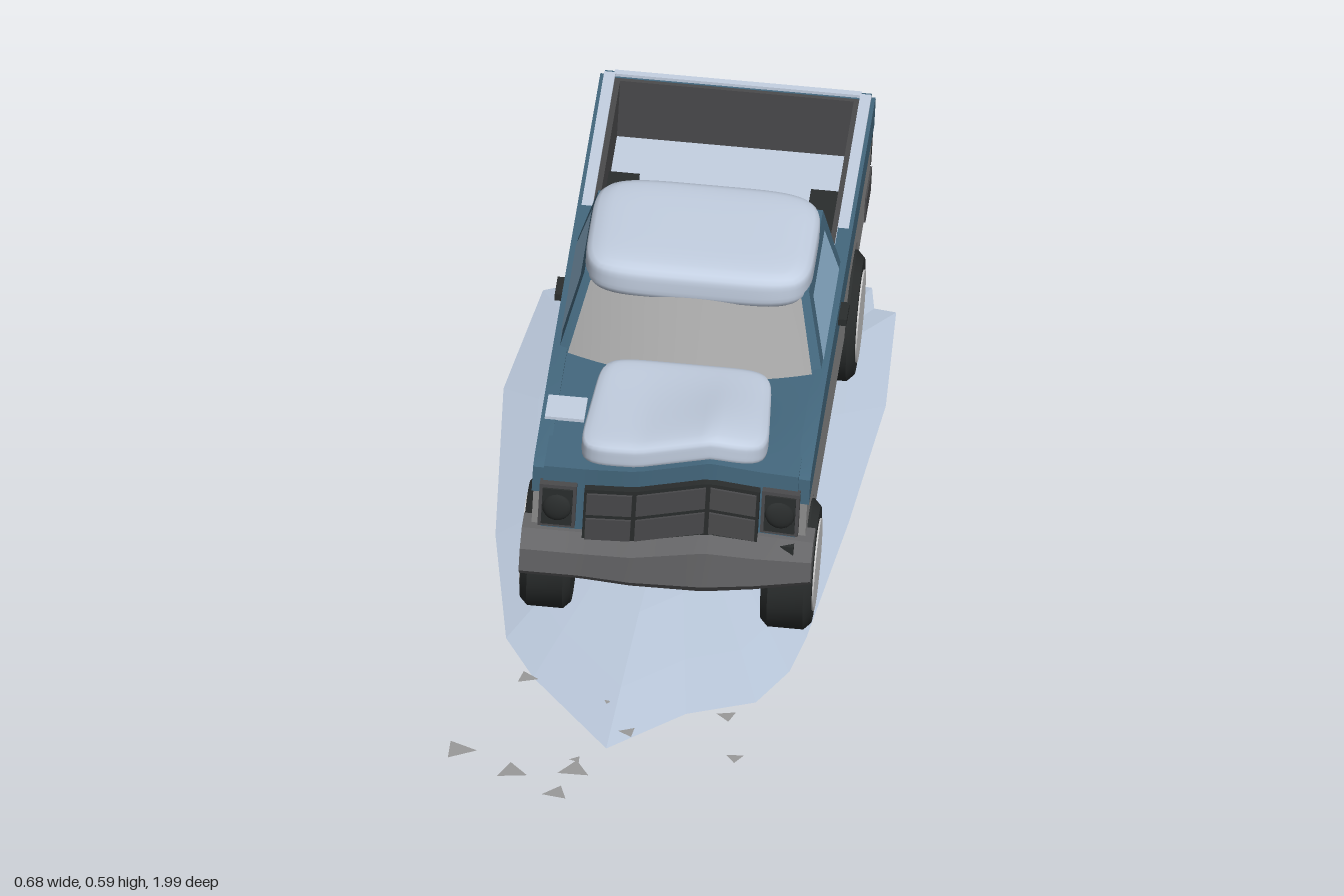
import * as THREE from 'three';
import { mergeVertices, toCreasedNormals } from 'three/addons/utils/BufferGeometryUtils.js';
import { ParametricGeometry } from 'three/addons/geometries/ParametricGeometry.js';

const mat = (color, side = THREE.FrontSide) => new THREE.MeshStandardMaterial({ color, side });
const blue = mat(0x44687e), panel = mat(0x8c8c8c), dark = mat(0x4a4a4c), black = mat(0x2a2d2d);
const hubGrey = mat(0xcccccc), snow = mat(0xc4d0e2), red = mat(0xa83a30);
const sideGlass = mat(0x94bad6, THREE.DoubleSide), frontGlass = mat(0xa5a5a5, THREE.DoubleSide);
const ground = mat(0xbccadd, THREE.DoubleSide), chip = mat(0x9a9a9a, THREE.DoubleSide);
ground.flatShading = true;

const { lerp, clamp, smoothstep } = THREE.MathUtils;

// Moves every vertex by a rule
function reshape(geo, rule) {
  const p = geo.attributes.position, v = new THREE.Vector3();
  for (let i = 0; i < p.count; i++) {
    rule(v.fromBufferAttribute(p, i));
    p.setXYZ(i, v.x, v.y, v.z);
  }
  geo.computeVertexNormals();
  return geo;
}

function add(parent, name, geo, material, x = 0, y = 0, z = 0) {
  const mesh = new THREE.Mesh(geo, material);
  mesh.name = name;
  mesh.position.set(x, y, z);
  parent.add(mesh);
  return mesh;
}
const box = (parent, name, m, w, h, d, x, y, z) => add(parent, name, new THREE.BoxGeometry(w, h, d), m, x, y, z);

// Extrudes a (z, y) side profile across x
function sideProfile(points, width, x = 0, steps = 1) {
  const shape = new THREE.Shape(points.map(p => new THREE.Vector2(...p)));
  return new THREE.ExtrudeGeometry(shape, { depth: width, steps, bevelEnabled: false })
    .rotateY(-Math.PI / 2).translate(x + width / 2, 0, 0);
}

// Collision damage: the nose is ridged off-centre and pushed back on the left
const DX = [-0.26, -0.15, -0.06, 0.07, 0.16, 0.26], DY = [0, 0, 0.01, 0.04, 0.017, -0.01], DZ = [0, 0, 0.01, 0.008, -0.015, -0.05];
function crumple(v) {
  let i = 0;
  while (i < 4 && v.x > DX[i + 1]) i++;
  const t = clamp((v.x - DX[i]) / (DX[i + 1] - DX[i]), 0, 1);
  const f = smoothstep(v.z, 0.2, 0.5);
  v.y += f * clamp((v.y - 0.2) / 0.07, 0, 1) * lerp(DY[i], DY[i + 1], t);
  v.z += f * lerp(DZ[i], DZ[i + 1], t);
}
const crumpled = geo => toCreasedNormals(reshape(geo, crumple), 0.5);
function nosePart(parent, name, m, w, h, d, x, y, z) {
  const n = Math.max(1, Math.round(w / 0.02));
  return add(parent, name, crumpled(new THREE.BoxGeometry(w, h, d, n, 2, 6).translate(x, y, z)), m);
}

// Soft rounded block of settled snow
function snowBlock(w, h, d, k) {
  let geo = new THREE.BoxGeometry(2, 2, 2, 20, 10, 20);
  geo.deleteAttribute('uv');
  geo.deleteAttribute('normal');
  geo = mergeVertices(geo);
  return reshape(geo, v => {
    const s = Math.pow(Math.abs(v.x) ** k + Math.abs(v.y) ** k + Math.abs(v.z) ** k, -1 / k);
    v.multiplyScalar(s).multiply(new THREE.Vector3(w / 2, h / 2, d / 2));
  });
}

// Point on the bowed front of the cab: u across, t up
const cabHalf = t => lerp(0.235, 0.2, t), cabY = t => lerp(0.4, 0.535, t);
const cabFront = (u, t) => lerp(0.14, 0.085, t) + lerp(0.06, 0.035, t) * (1 - u * u);

function buildCab(truck) {
  const pts = [new THREE.Vector2(-1, 0), new THREE.Vector2(1, 0)];
  for (let i = 0; i <= 12; i++) {
    const u = 1 - i / 6;
    pts.push(new THREE.Vector2(u, -1 - 0.3 * (1 - u * u)));
  }
  const geo = new THREE.ExtrudeGeometry(new THREE.Shape(pts), { depth: 1, bevelEnabled: false });
  geo.rotateX(-Math.PI / 2);
  add(truck, 'cab', toCreasedNormals(reshape(geo, v => {
    const t = v.y, u = v.x;
    v.set(u * cabHalf(t), cabY(t), v.z < 0.5 ? lerp(-0.24, -0.195, t) : cabFront(u, t));
  }), 0.5), blue);

  add(truck, 'windshield', new ParametricGeometry((a, b, out) => {
    const u = lerp(-0.93, 0.93, a), t = lerp(0.03, 0.94, b);
    out.set(u * cabHalf(t), cabY(t), cabFront(u, t) + 0.004);
  }, 16, 2), frontGlass);
  add(truck, 'rearWindow', new ParametricGeometry((a, b, out) => {
    const t = lerp(0.08, 0.9, b);
    out.set(lerp(-0.86, 0.86, a) * cabHalf(t), cabY(t), lerp(-0.24, -0.195, t) - 0.003);
  }, 1, 1), sideGlass);
  for (const s of [-1, 1]) {
    add(truck, 'sideWindow', new ParametricGeometry((a, b, out) => {
      const t = lerp(0.1, 0.88, b);
      out.set(s * (cabHalf(t) + 0.003), cabY(t), lerp(lerp(-0.2, -0.155, b), lerp(0.115, 0.07, b), a));
    }, 1, 1), sideGlass);
    box(truck, 'doorHandle', black, 0.02, 0.013, 0.06, s * 0.25, 0.376, -0.11);
  }
  add(truck, 'roofSnow', snowBlock(0.405, 0.075, 0.325, 5), snow, 0, 0.543, -0.033);
}

function buildBody(truck) {
  // Lower edge with the wheel arches, front to back
  const sill = [[0.53, 0.22], [0.51, 0.22], [0.49, 0.25], [0.45, 0.268], [0.35, 0.268], [0.3, 0.24], [0.275, 0.19],
    [-0.35, 0.18], [-0.38, 0.24], [-0.42, 0.262], [-0.54, 0.262], [-0.58, 0.24], [-0.61, 0.185], [-0.83, 0.195]];
  add(truck, 'underbody', sideProfile([...sill, [-0.83, 0.275], [0.53, 0.275]], 0.45), black);
  box(truck, 'chassis', black, 0.3, 0.075, 1.15, 0, 0.226, -0.1);
  for (const s of [-1, 1]) {
    add(truck, 'lowerSide', crumpled(sideProfile([...sill, [-0.83, 0.33], [0.53, 0.345]], 0.02, s * 0.232)), panel);
    add(truck, 'upperSide', crumpled(sideProfile([[0.53, 0.345], [-0.83, 0.33], [-0.83, 0.385], [-0.82, 0.395],
      [-0.24, 0.405], [0.2, 0.41], [0.5, 0.403], [0.53, 0.395]], 0.026, s * 0.232)), blue);
    box(truck, 'bedRail', snow, 0.02, 0.006, 0.57, s * 0.228, 0.4, -0.53);
    box(truck, 'bedLiner', dark, 0.012, 0.12, 0.57, s * 0.214, 0.335, -0.53);
    box(truck, 'wheelWell', black, 0.055, 0.045, 0.25, s * 0.18, 0.3, -0.485);
    box(truck, 'tailLight', red, 0.04, 0.06, 0.016, s * 0.215, 0.29, -0.836);
    box(truck, 'tailLightBezel', black, 0.056, 0.08, 0.012, s * 0.215, 0.29, -0.834);
  }
  box(truck, 'bedFloor', snow, 0.44, 0.01, 0.6, 0, 0.275, -0.53);
  box(truck, 'bedBulkhead', dark, 0.44, 0.125, 0.012, 0, 0.338, -0.25);
  box(truck, 'cabLower', blue, 0.45, 0.13, 0.41, 0, 0.338, -0.037);
  box(truck, 'tailgateLiner', dark, 0.43, 0.12, 0.01, 0, 0.335, -0.805);
  box(truck, 'tailgateUpper', blue, 0.475, 0.065, 0.022, 0, 0.363, -0.82);
  box(truck, 'tailgateLower', panel, 0.465, 0.12, 0.022, 0, 0.275, -0.822);
  box(truck, 'tailgateCap', snow, 0.44, 0.006, 0.014, 0, 0.398, -0.82);
  box(truck, 'rearBumper', dark, 0.49, 0.05, 0.11, 0, 0.213, -0.788);
  box(truck, 'rearPlate', dark, 0.13, 0.055, 0.014, 0, 0.235, -0.844);
}

function buildNose(truck) {
  nosePart(truck, 'hood', blue, 0.45, 0.135, 0.39, 0, 0.337, 0.345);
  const cap = snowBlock(0.335, 0.05, 0.32, 7);
  reshape(cap.translate(0, 0.42, 0.365), v => {
    v.x *= lerp(0.9, 1, clamp((v.z - 0.2) / 0.3, 0, 1));
    crumple(v);
  });
  add(truck, 'hoodSnow', cap, snow);
  box(truck, 'fenderSnow', snow, 0.07, 0.006, 0.075, -0.203, 0.408, 0.345);

  // Grille of two rows and three columns
  nosePart(truck, 'grilleFrame', black, 0.31, 0.108, 0.02, 0.005, 0.319, 0.547);
  for (const [x0, x1] of [[-0.145, -0.064], [-0.056, 0.066], [0.074, 0.155]])
    for (const y of [0.294, 0.345])
      nosePart(truck, 'grillePanel', dark, x1 - x0, 0.042, 0.02, (x0 + x1) / 2, y, 0.552);

  for (const x of [-0.197, 0.197]) {
    nosePart(truck, 'headlightBezel', dark, 0.066, 0.085, 0.02, x, 0.333, 0.545);
    nosePart(truck, 'headlightRecess', black, 0.054, 0.072, 0.02, x, 0.333, 0.549);
    const lamp = new THREE.SphereGeometry(0.026, 16, 10).scale(1, 1, 0.4).translate(x, 0.333, 0.559);
    add(truck, 'headlight', reshape(lamp, crumple), black);
  }
  add(truck, 'frontBumper', crumpled(sideProfile([[0.5, 0.19], [0.555, 0.188], [0.575, 0.205],
    [0.575, 0.25], [0.55, 0.28], [0.5, 0.28]], 0.515, 0, 26)), mat(0x666668));
}

function buildWheels(truck) {
  const profile = [[0, -0.045], [0.104, -0.045], [0.117, -0.032], [0.117, 0.032], [0.104, 0.045], [0, 0.045]];
  const tire = toCreasedNormals(new THREE.LatheGeometry(profile.map(p => new THREE.Vector2(...p)), 24)
    .rotateZ(-Math.PI / 2), 0.5);
  const hub = new THREE.CylinderGeometry(0.083, 0.083, 0.008, 24).rotateZ(Math.PI / 2);
  for (const s of [-1, 1])
    for (const [name, y, z] of [['frontWheel', 0.162, 0.395], ['rearWheel', 0.147, -0.482]]) {
      const wheel = new THREE.Group();
      wheel.name = name;
      wheel.position.set(s * 0.214, y, z);
      add(wheel, 'tire', tire, black);
      add(wheel, 'hub', hub, hubGrey, s * 0.044);
      truck.add(wheel);
    }
}

// Low dome of snow with a ragged edge, built as shrinking rings
function buildMound(root) {
  const rim = [[-0.05, -1], [0.09, -1], [0.15, -0.83], [0.28, -0.8], [0.29, -0.73], [0.33, -0.72], [0.34, -0.4],
    [0.31, 0], [0.27, 0.4], [0.25, 0.52], [0.2, 0.63], [0.08, 0.68], [-0.05, 0.81], [-0.2, 0.58],
    [-0.26, 0.45], [-0.31, 0.1], [-0.34, -0.4], [-0.3, -0.74], [-0.2, -0.79], [-0.14, -0.83]];
  const rings = [[1, 0], [0.8, 0.018], [0.55, 0.037], [0.3, 0.047], [0, 0.05]], n = rim.length, pos = [], index = [];
  rings.forEach(([s, y], r) => rim.forEach(([x, z], i) => {
    pos.push(x * s, y, -0.1 + (z + 0.1) * s);
    const a = r * n + i, b = r * n + (i + 1) % n;
    if (r < rings.length - 1) index.push(a, a + n, b, b, a + n, b + n);
  }));
  const geo = new THREE.BufferGeometry();
  geo.setAttribute('position', new THREE.Float32BufferAttribute(pos, 3));
  geo.setIndex(index);
  geo.computeVertexNormals();
  add(root, 'snowMound', geo, ground);

  // Loose flat fragments ahead of the nose: x, z, size
  [[-0.31, 0.84, 0.033], [-0.21, 0.6, 0.022], [-0.21, 0.905, 0.031], [-0.1, 0.89, 0.032], [-0.125, 0.972, 0.026],
    [-0.1, 0.855, 0.012], [-0.015, 0.77, 0.018], [0.155, 0.7, 0.02], [0.18, 0.825, 0.018], [-0.06, 0.67, 0.008]]
    .forEach(([x, z, r], i) => add(root, 'fragment',
      new THREE.CircleGeometry(r, 3).rotateX(-Math.PI / 2).rotateY(i * 1.9), chip, x, z < 0.8 ? 0.012 : 0.002, z));
}

export function createModel() {
  const root = new THREE.Group();
  root.name = 'crashedPickup';
  const truck = new THREE.Group();
  truck.name = 'truck';
  truck.position.x = 0.02;
  truck.rotation.z = -0.05; // leaning to its left
  buildBody(truck);
  buildCab(truck);
  buildNose(truck);
  buildWheels(truck);
  root.add(truck);
  buildMound(root);
  return root;
}
